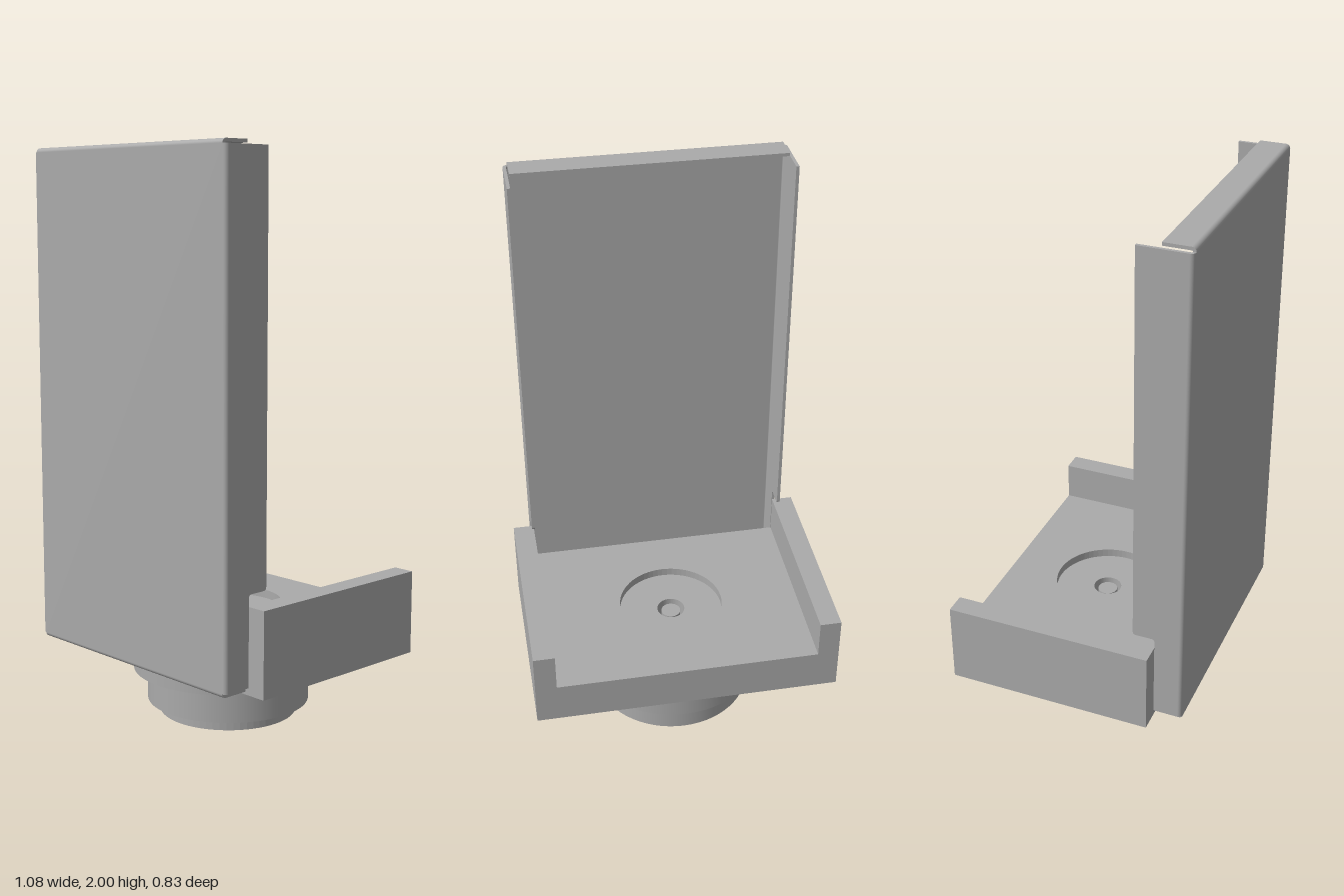
import * as THREE from 'three';

export function createModel() {
  const model = new THREE.Group();
  const grey = new THREE.MeshStandardMaterial({ color: 0xaaaaaa });
  grey.name = 'plain grey';

  const add = (name, geo, parent = model) => {
    const mesh = new THREE.Mesh(geo, grey);
    mesh.name = name;
    parent.add(mesh);
    return mesh;
  };
  // Box given by its limits
  const box = (name, x0, x1, y0, y1, z0, z1, parent) => {
    const geo = new THREE.BoxGeometry(x1 - x0, y1 - y0, z1 - z0);
    geo.translate((x0 + x1) / 2, (y0 + y1) / 2, (z0 + z1) / 2);
    return add(name, geo, parent);
  };
  const poly = (pts) => new THREE.Shape(pts.map(([x, y]) => new THREE.Vector2(x, y)));
  const circle = (x, y, r) => new THREE.Path().absarc(x, y, r, 0, Math.PI * 2, true);
  const extrude = (shape, depth) =>
    new THREE.ExtrudeGeometry(shape, { depth, bevelEnabled: false, curveSegments: 32 });
  // Plan shape (x, -z) raised from y0 to y1
  const slab = (name, shape, y0, y1, parent) =>
    add(name, extrude(shape, y1 - y0).rotateX(-Math.PI / 2).translate(0, y0, 0), parent);

  const axisZ = -0.052;

  // Channel base: recessed floor between two side walls
  const base = new THREE.Group();
  base.name = 'channelBase';
  model.add(base);
  const W = 0.54, inner = 0.465, back = -0.415, front = 0.31;
  const floorPlan = () => poly([[-W, -front], [W, -front], [W, -back], [-W, -back]]);
  const top = poly([[-inner, -front], [inner, -front], [inner, -back], [-inner, -back]]);
  top.holes.push(circle(0, -axisZ, 0.188));
  slab('channelFloor', top, 0.39, 0.42, base);
  const mid = floorPlan();
  mid.holes.push(circle(0, -axisZ, 0.05));
  slab('basePlate', mid, 0.27, 0.39, base);
  for (const s of [-1, 1]) {
    const a = s * inner, b = s * W;
    box('channelWall', Math.min(a, b), Math.max(a, b), 0.39, 0.56, back, front, base);
  }

  // Stepped round mount under the base
  const mount = new THREE.Group();
  mount.name = 'roundMount';
  mount.position.z = axisZ;
  model.add(mount);
  const disc = (name, r, y0, y1) =>
    add(name, new THREE.CylinderGeometry(r, r, y1 - y0, 64).translate(0, (y0 + y1) / 2, 0), mount);
  disc('upperCollar', 0.338, 0.18, 0.27);
  disc('middleCollar', 0.288, 0.065, 0.18);
  disc('shaftEnd', 0.035, 0.25, 0.38);

  // Bottom disc with three round pockets and a centre bore
  const plate = new THREE.Shape().absarc(0, 0, 0.243, 0, Math.PI * 2, false);
  plate.holes.push(circle(0, 0, 0.035));
  for (const deg of [-73, 47, 167]) {
    const t = THREE.MathUtils.degToRad(deg);
    plate.holes.push(circle(0.142 * Math.cos(t), -0.142 * Math.sin(t), 0.088));
  }
  slab('pocketDisc', plate, 0.022, 0.065, mount);
  disc('centrePin', 0.018, 0.002, 0.07);

  // Latch on the side of the mount
  box('latchPlate', -0.305, -0.295, 0.05, 0.178, -0.02, 0.05);
  box('latchArm', -0.3, -0.25, 0.168, 0.178, -0.02, 0.07);
  box('latchTab', -0.285, -0.24, 0.152, 0.178, 0.05, 0.125);

  // Folded sheet panel
  const panel = new THREE.Group();
  panel.name = 'frontPanel';
  model.add(panel);
  const R = 0.015, T = 0.011, px = 0.475, py0 = 0.28, py1 = 2, pz = 0.413;
  box('panelFace', -px + R, px - R, py0 + R, py1 - R, pz - T, pz, panel);
  box('topLip', -px + R, px - R, py1 - T, py1, 0.31, pz - R, panel);
  box('bottomLip', -px + R, px - R, py0, py0 + T, 0.31, pz - R, panel);

  // Quarter-round bends along the four face edges
  const bend = new THREE.Shape().absarc(0, 0, R, 0, Math.PI / 2, false);
  bend.absarc(0, 0, R - T, Math.PI / 2, 0, true);
  const height = py1 - py0 - 2 * R, width = 2 * (px - R);
  const addBend = (length, angle, turn, x, y) => {
    const geo = extrude(bend, length).translate(0, 0, -length / 2).rotateZ(angle);
    if (turn === 'x') geo.rotateX(-Math.PI / 2);
    else geo.rotateY(Math.PI / 2);
    add('panelBend', geo.translate(x, y, pz - R), panel);
  };
  const midY = (py0 + py1) / 2;
  addBend(height, -Math.PI / 2, 'x', px - R, midY);
  addBend(height, Math.PI, 'x', -px + R, midY);
  addBend(width, Math.PI / 2, 'y', 0, py1 - R);
  addBend(width, Math.PI, 'y', 0, py0 + R);

  // Side flanges, cut back below to clear the channel walls
  const zf = pz - R, zb = 0.235, yb = py0 + R, yt = py1 - R, r = 0.012;
  const flange = new THREE.Shape();
  flange.moveTo(-zf, yb);
  flange.lineTo(-0.312, yb);
  flange.lineTo(-0.312, 0.6 - r);
  flange.quadraticCurveTo(-0.312, 0.6, -0.312 + r, 0.6);
  flange.lineTo(-zb - r, 0.6);
  flange.quadraticCurveTo(-zb, 0.6, -zb, 0.6 + r);
  flange.lineTo(-zb, yt);
  flange.lineTo(-zf, yt);
  for (const x of [-px, px - T])
    add('sideFlange', extrude(flange, T).rotateY(Math.PI / 2).translate(x, 0, 0), panel);

  return model;
}
